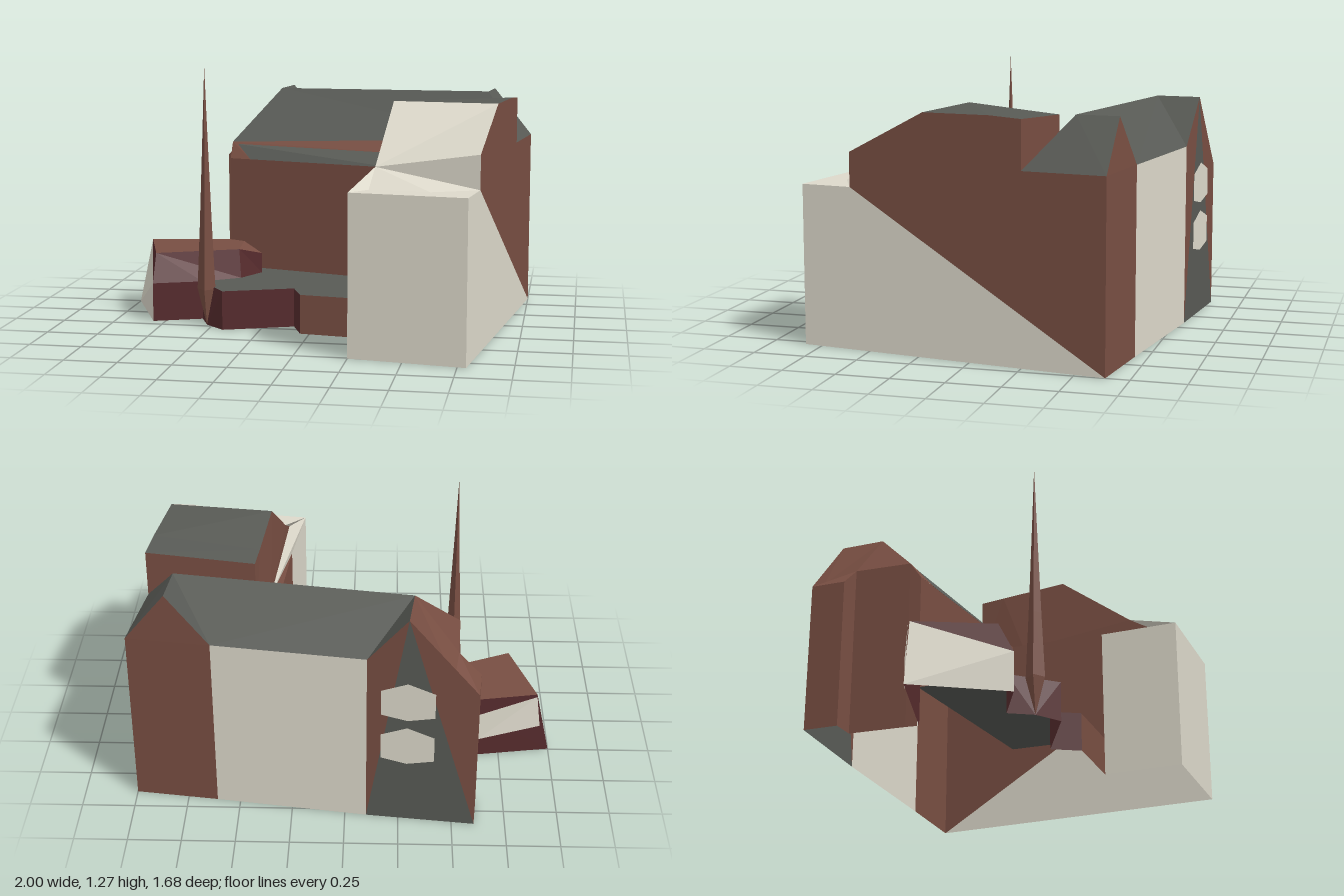
import * as THREE from 'three';

const flat = (name, color) => {
  const m = new THREE.MeshStandardMaterial({ color, side: THREE.DoubleSide, flatShading: true });
  m.name = name;
  return m;
};

// Raise or lower a point to height y
const at = (p, y) => [p[0], y, p[2]];
// Upright wall between two points, from y0 up to the points themselves
const wall = (a, b, y0 = 0) => [a, b, at(b, y0), at(a, y0)];

export function createModel() {
  const model = new THREE.Group();
  model.name = 'house';
  const brick = flat('brick brown', 0x784e42);
  const cream = flat('cream plaster', 0xdcd8ca);
  const slate = flat('slate grey', 0x585a55);
  const red = flat('dark red', 0x562b2d);

  // Each face is a convex loop of corners, filled as a fan
  const add = (name, material, faces) => {
    const pos = [];
    for (const f of faces)
      for (let i = 1; i < f.length - 1; i++) pos.push(...f[0], ...f[i], ...f[i + 1]);
    const g = new THREE.BufferGeometry();
    g.setAttribute('position', new THREE.Float32BufferAttribute(pos, 3));
    g.computeVertexNormals();
    const mesh = new THREE.Mesh(g, material);
    mesh.name = name;
    model.add(mesh);
  };

  // ---- Long side wall on +x, shared by wing and main house
  const side = (z, y) => [0.79 + (0.835 - z) * 0.1424, y, z];
  add('sideWall', brick, [
    [side(0.59, 0.755), side(0.59, 0.915), side(0.22, 1.11), side(-0.1, 1.11), side(-0.25, 1.1), side(-0.25, 0.875)],
    [side(0.59, 0.755), side(-0.25, 0.875), side(-0.64, 0.875), side(-0.64, 0)],
  ]);
  add('sideWallBase', cream, [[side(0.835, 0), side(0.835, 0.755), side(0.59, 0.755), side(-0.64, 0)]]);

  // ---- Front wing
  const A = [0.25, 0.755, 0.76], B = side(0.835, 0.755), C = side(0.59, 0.755), D = side(0.59, 0.915);
  const P = [0.34, 0.84, 0.515], Q = [0.33, 0.755, 0.66], R = [0.61, 0.755, 0.69];
  const T1 = [0.38, 1.11, 0.16], T2 = [0.415, 1.08, -0.17], T3 = [0.43, 1.07, -0.29];
  const inner = [0.38, 0.755, -0.05], corner = [0.34, 0.755, -0.1], joint = [0.3, 0.755, 0.375];
  add('wingFront', cream, [wall(A, B)]);
  add('wingInnerWallFront', cream, [wall(A, joint)]);
  add('wingInnerWall', brick, [
    wall(joint, corner, 0.19), [joint, corner, inner],
    [P, T1, inner], [T1, T2, inner], [T2, T3, at(T3, 0.755), inner], [Q, P, inner],
  ]);
  add('wingLowRoof', cream, [
    [A, B, R], [B, C, R], [R, C, P], [Q, R, P], [A, R, Q], [A, Q, P], [P, C, D], [A, inner, Q],
  ]);
  add('wingFrontSlope', cream, [[P, D, side(0.22, 1.11), T1]]);
  add('wingTopRoof', slate, [
    [T1, side(0.22, 1.11), side(-0.1, 1.11)], [T1, side(-0.1, 1.11), T2],
    [T2, side(-0.1, 1.11), side(-0.25, 1.1), T3],
  ]);
  add('wingBackWall', brick, [wall(T3, side(-0.25, 1.1), 0.86)]);

  // ---- Main house roof
  const ridgeL = [-0.31, 1.1, -0.605], ridgeR = [0.79, 1.11, -0.455];
  const peakL = [-0.285, 1.1, -0.82], peakR = [0.81, 1.11, -0.655];
  const backR = side(-0.64, 0.875), eaveR = side(-0.25, 0.875), eaveL = [-0.53, 0.835, -0.385];
  const panelR = [0.61, 0.875, -0.69], panelL = [-0.1, 0.875, -0.79];
  add('mainRoof', slate, [
    [ridgeL, eaveL, eaveR], [ridgeL, eaveR, ridgeR],
    [ridgeR, eaveR, backR, peakR], [ridgeR, peakR, panelR],
    [ridgeL, ridgeR, panelR, panelL], [ridgeL, panelL, peakL],
  ]);

  // ---- Hipped end and small corner stub
  const stubB = [-0.605, 0.73, -0.845], stubF = [-0.62, 0.73, -0.68];
  const stubI = [-0.515, 0.835, -0.66], stubT = [-0.49, 0.8, -0.83];
  add('hipEnd', brick, [[ridgeL, peakL, stubT], [ridgeL, stubT, stubI], [ridgeL, stubI, eaveL]]);
  add('stubRoof', brick, [[stubB, stubF, stubI], [stubB, stubI, stubT]]);
  add('stubWalls', brick, [wall(stubB, stubF), wall(stubF, at(stubI, 0.73)), [stubF, stubI, at(stubI, 0.73)]]);

  // ---- Main walls
  const frontL = [-0.53, 0.755, -0.33];
  add('endWall', brick, [wall(stubI, eaveL), [eaveL, frontL, at(frontL, 0), at(eaveL, 0)]]);
  add('frontWall', brick, [wall(frontL, corner, 0.19)]);

  // Lean-to roof below the front eave
  const leanL = [-0.5, 0.825, -0.372], leanR = [0.42, 0.81, -0.22], leanF = [-0.42, 0.755, -0.3];
  add('leanToRoof', slate, [[leanL, leanF, corner], [leanL, corner, leanR], [corner, inner, leanR]]);
  add('eaveBand', brick, [[eaveL, [0.43, 0.872, -0.29], leanR, leanL], [eaveL, leanL, leanF, frontL]]);

  // ---- Back wall with two gables
  add('backGableRight', brick, [[backR, peakR, panelR, at(panelR, 0), at(backR, 0)]]);
  add('backPanel', cream, [wall(panelR, panelL)]);
  add('backGableLeft', brick, [
    [at(panelL, 0), panelL, peakL], [peakL, stubT, stubB], [peakL, stubB, at(stubB, 0)],
  ]);
  add('gablePanel', slate, [[at(panelL, 0), peakL, at(stubB, 0)]]);

  // Arched windows, as thin plates
  const pane = (x, y) => [x, y, -0.812 + (x + 0.1) * 0.109];
  for (const y of [0.36, 0.6]) {
    add('gableWindow', cream, [[
      pane(-0.165, y), pane(-0.285, y - 0.025), pane(-0.41, y),
      pane(-0.41, y + 0.13), pane(-0.285, y + 0.175), pane(-0.165, y + 0.13),
    ]]);
  }

  // ---- Low flat-roofed annex
  const a = at(frontL, 0.19), b = at(corner, 0.19), c = at(joint, 0.19);
  const d = [-0.045, 0.19, 0.33], e = [-0.1, 0.19, 0.19], f = [-0.43, 0.19, 0.315], g = [-0.58, 0.19, 0.1];
  add('annexRoof', slate, [[b, c, d, e], [a, b, e], [a, e, f, g]]);
  add('annexFront', brick, [wall(c, d)]);
  const foot = [-0.53, 0, 0.22];
  add('annexWalls', red, [
    wall(d, e), wall(e, f), [f, foot, at(f, 0)], [f, g, foot], [g, at(g, 0), foot],
  ]);

  // ---- Little side house
  const h1 = [-0.93, 0.33, -0.25], h2 = [-0.81, 0.33, 0.12], h3 = [-0.425, 0.33, -0.05];
  const h4 = [-0.335, 0.29, -0.175], h5 = [-0.45, 0.33, -0.28], h6 = [-0.53, 0.33, -0.32];
  const lip = [-0.81, 0.19, 0.19], base = [-1, 0, -0.245];
  add('sideHouseRoof', brick, [[h3, h4, h5, h6, h1, h2]]);
  add('sideHouseFront', red, [
    wall(lip, g), [h2, h3, [-0.41, 0.19, -0.02], g, lip], [h1, h2, lip],
    [h3, h4, at(h4, 0.19), [-0.41, 0.19, -0.02]], wall(h4, h5, 0.19),
  ]);
  add('sideHouseEnd', cream, [[base, h1, lip, at(lip, 0)]]);
  add('sideHouseBack', red, [[base, h1, h6, at(h6, 0)]]);
  add('sideHouseShutter', cream, [
    [[-0.93, 0.32, -0.257], [-0.64, 0.28, -0.36], [-0.64, 0.135, -0.36], [-0.95, 0.15, -0.26]],
  ]);

  // ---- Slim spire, widest just above the ground
  const spire = new THREE.Mesh(new THREE.LatheGeometry(
    [[0, 0], [0.045, 0.18], [0.03, 0.5], [0.012, 0.95], [0, 1.27]].map((p) => new THREE.Vector2(...p)), 4), brick);
  spire.name = 'spire';
  spire.position.set(-0.53, 0, 0.22);
  model.add(spire);

  return model;
}
